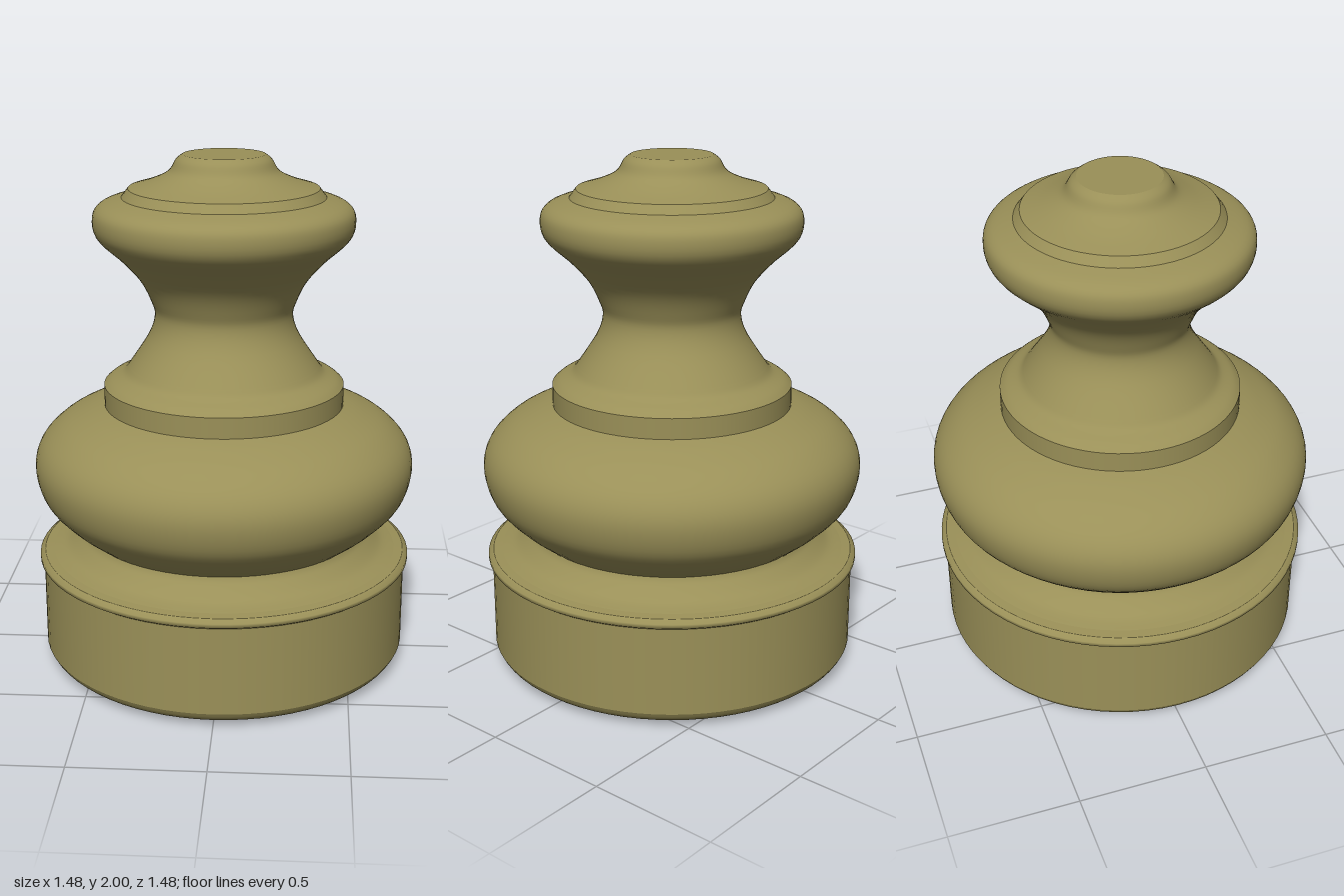
import * as THREE from 'three';

export function createModel() {
  const group = new THREE.Group();
  const wood = new THREE.MeshStandardMaterial({ color: 0x9a9058 });
  wood.name = 'olive';

  // Turned section from [radius, height] points, bottom to top; curved ones are splined
  function turn(name, points, curved = false) {
    let profile = points.map(([r, y]) => new THREE.Vector2(r, y));
    if (curved) profile = new THREE.SplineCurve(profile).getPoints(points.length * 4);
    const mesh = new THREE.Mesh(new THREE.LatheGeometry(profile, 72), wood);
    mesh.name = name;
    group.add(mesh);
  }

  // Base drum with a rounded foot and a thin rim
  turn('baseBottom', [[0, 0], [0.64, 0.005]]);
  turn('baseFoot', [[0.64, 0.005], [0.68, 0.02], [0.705, 0.04], [0.72, 0.065]], true);
  turn('baseDrum', [[0.72, 0.065], [0.72, 0.41]]);
  turn('baseRim', [[0.72, 0.41], [0.735, 0.42], [0.735, 0.435], [0.715, 0.448]]);
  turn('baseTop', [[0.715, 0.448], [0.68, 0.452]]);

  // Cove between the base and the bulb
  turn('cove', [[0.68, 0.452], [0.625, 0.47], [0.575, 0.515], [0.56, 0.54]], true);

  // Wide rounded bulb
  turn('bulb', [[0.56, 0.54], [0.64, 0.605], [0.713, 0.69], [0.74, 0.8],
    [0.715, 0.89], [0.64, 0.965], [0.54, 1.015], [0.465, 1.04]], true);

  // Collar band and its sloped shoulder
  turn('collarBand', [[0.465, 1.04], [0.465, 1.12]]);
  turn('collarShoulder', [[0.465, 1.12], [0.44, 1.14], [0.39, 1.165], [0.365, 1.195]], true);

  // Waisted neck flaring into the head
  turn('neckAndHead', [[0.365, 1.195], [0.29, 1.31], [0.265, 1.39], [0.28, 1.45],
    [0.32, 1.53], [0.39, 1.61], [0.48, 1.695], [0.495, 1.77], [0.465, 1.815], [0.385, 1.842]], true);

  // Stepped cap
  turn('capStep', [[0.385, 1.842], [0.36, 1.875]]);
  turn('capSlope', [[0.36, 1.875], [0.28, 1.9], [0.21, 1.935], [0.18, 1.98], [0.155, 2]], true);
  turn('capTop', [[0.155, 2], [0, 2]]);

  return group;
}
